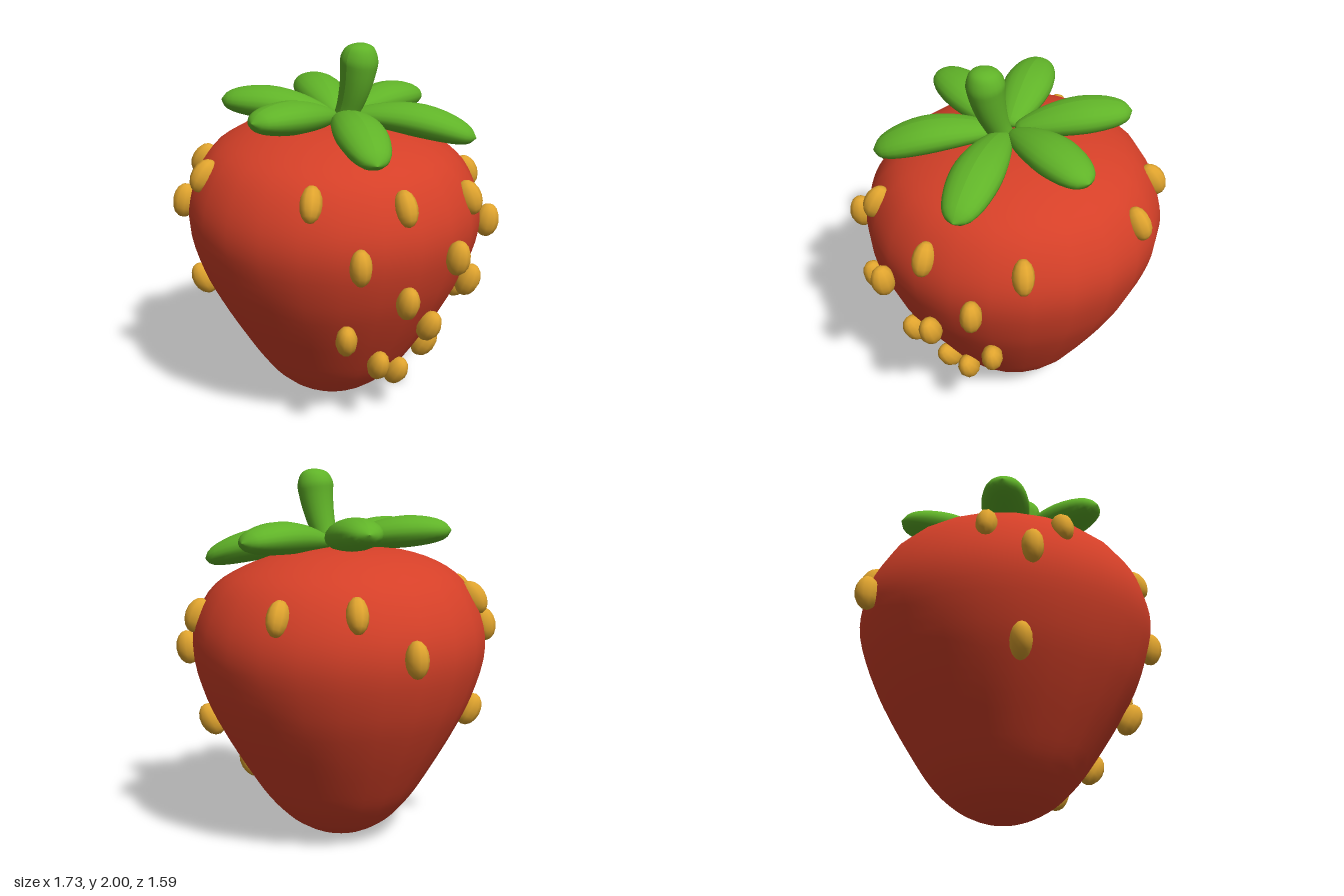
import * as THREE from 'three';

const V2 = (x, y) => new THREE.Vector2(x, y);
const V3 = (x, y, z) => new THREE.Vector3(x, y, z);

const red = new THREE.MeshStandardMaterial({ name: 'berryRed', color: 0xd54028 });
const green = new THREE.MeshStandardMaterial({ name: 'leafGreen', color: 0x60b328 });
const gold = new THREE.MeshStandardMaterial({ name: 'seedGold', color: 0xe0a42e });

// Berry outline as radius and height, bottom to top
const outline = new THREE.SplineCurve([
  V2(0, 0.005), V2(0.13, 0.025), V2(0.27, 0.1), V2(0.39, 0.22), V2(0.505, 0.39),
  V2(0.63, 0.6), V2(0.727, 0.8), V2(0.791, 1.03), V2(0.77, 1.22), V2(0.668, 1.4),
  V2(0.5, 1.51), V2(0.27, 1.578), V2(0, 1.592),
]).getPoints(40);

// The berry's axis bows slightly sideways
const axisX = (y) => -0.025 - 0.03 * (y - 0.8) ** 2;

function radiusAt(y) {
  const i = Math.max(1, outline.findIndex((p) => p.y >= y));
  const a = outline[i - 1], b = outline[i];
  return THREE.MathUtils.lerp(a.x, b.x, (y - a.y) / (b.y - a.y));
}

function moveVertices(geometry, rule) {
  const pos = geometry.attributes.position;
  const v = V3(0, 0, 0);
  for (let i = 0; i < pos.count; i++) {
    rule(v.fromBufferAttribute(pos, i));
    pos.setXYZ(i, v.x, v.y, v.z);
  }
  return geometry;
}

function addMesh(parent, name, geometry, material) {
  const mesh = new THREE.Mesh(geometry, material);
  mesh.name = name;
  parent.add(mesh);
  return mesh;
}

// Points local y along "along" and local z as near to "out" as possible
function orient(mesh, along, out) {
  const y = along.clone().normalize();
  const x = y.clone().cross(out).normalize();
  const z = x.clone().cross(y);
  mesh.quaternion.setFromRotationMatrix(new THREE.Matrix4().makeBasis(x, y, z));
}

// Body: the crown slopes down a little toward +x
function addBody(group) {
  const geometry = moveVertices(new THREE.LatheGeometry(outline, 24), (v) => {
    v.x += axisX(v.y);
    v.y -= 0.04 * (v.x + 0.1) * THREE.MathUtils.smoothstep(v.y, 1.3, 1.55);
  });
  addMesh(group, 'berryBody', geometry, red);
}

// Seeds: x, height and z; each is seated on the skin in that direction
function addSeeds(group) {
  const spots = [
    [0.36, 1.33, 0.59], [0.63, 1.29, 0.24], [0.68, 1.24, -0.23], [0.39, 1.24, -0.63],
    [0.61, 1.05, 0.52], [0.8, 1.0, 0], [0.61, 1.03, -0.51],
    [0.71, 0.81, 0.27], [0.71, 0.78, -0.26],
    [0.47, 0.6, 0.46], [0.63, 0.58, 0], [0.47, 0.64, -0.48],
    [0.46, 0.37, 0.2], [0.46, 0.35, -0.23], [0.43, 0.25, 0],
    [-0.68, 1.33, 0.41], [-0.35, 1.34, 0.63], [-0.55, 1.16, 0.6], [-0.51, 0.69, 0.49],
    [-0.8, 1.1, -0.28], [-0.59, 1.31, -0.47], [-0.28, 1.29, -0.68],
  ];
  const geometry = new THREE.SphereGeometry(1, 10, 8).scale(0.056, 0.094, 0.066);
  const seeds = new THREE.Group();
  seeds.name = 'seeds';
  group.add(seeds);
  for (const [x, y, z] of spots) {
    const slope = (radiusAt(y + 0.04) - radiusAt(y - 0.04)) / 0.08;
    const out = V3(x - axisX(y), 0, z).normalize();
    const normal = out.clone().setY(-slope).normalize();
    const seed = addMesh(seeds, 'seed', geometry, gold);
    // Upper seeds sit deeper in the skin than lower ones
    const lift = THREE.MathUtils.clamp((1.25 - y) * 0.2, 0.002, 0.045);
    seed.position.copy(out).multiplyScalar(radiusAt(y) + lift).add(V3(axisX(y), y, 0));
    orient(seed, out.clone().multiplyScalar(slope).setY(1), normal);
  }
}

// Leaves: plump blades; x, y, z of the tip, then arch height
function addLeaves(group) {
  const leaves = new THREE.Group();
  leaves.name = 'leaves';
  group.add(leaves);
  const blade = new THREE.SplineCurve([
    V2(0, 0), V2(0.045, 0.03), V2(0.092, 0.2), V2(0.122, 0.4), V2(0.131, 0.6),
    V2(0.112, 0.8), V2(0.07, 0.94), V2(0, 1),
  ]).getPoints(18).map((p) => V2(Math.max(0, p.x), p.y));
  const tips = [
    [0.02, 1.63, -0.65, 0.025], [0.62, 1.51, -0.39, 0.04], [0.59, 1.51, 0.38, 0.04],
    [0.0, 1.665, 0.625, 0.012], [-0.5, 1.68, 0.37, 0.02], [-0.54, 1.68, -0.33, 0.02],
  ];
  for (const [x, y, z, arch] of tips) {
    const base = V3(0.01 + x * 0.06, 1.61, z * 0.06);
    const along = V3(x, y, z).sub(base);
    const length = along.length();
    const geometry = moveVertices(new THREE.LatheGeometry(blade, 20), (v) => {
      v.z = v.z * 0.65 + arch * Math.sin(Math.PI * v.y);
      v.y *= length;
    });
    geometry.computeVertexNormals();
    const leaf = addMesh(leaves, 'leaf', geometry, green);
    leaf.position.copy(base);
    orient(leaf, along, V3(0, 1, 0));
  }
}

// Stem: flares to a rounded end, leaning and bending to one side
function addStem(group) {
  const side = new THREE.SplineCurve([
    V2(0.07, 1.54), V2(0.066, 1.64), V2(0.078, 1.75), V2(0.092, 1.86),
    V2(0.097, 1.92), V2(0.075, 1.975), V2(0.035, 1.997), V2(0, 2),
  ]).getPoints(24);
  const geometry = moveVertices(new THREE.LatheGeometry(side, 20), (v) => {
    const t = (v.y - 1.54) / 0.46;
    v.y -= (v.x * 0.25) * t * (1 - t) * 4;
    v.x += 0.025 + 0.13 * t + 0.03 * Math.sin(Math.PI * t);
  });
  geometry.computeVertexNormals();
  addMesh(group, 'stem', geometry, green);
}

export function createModel() {
  const group = new THREE.Group();
  group.name = 'strawberry';
  addBody(group);
  addSeeds(group);
  addLeaves(group);
  addStem(group);
  return group;
}
